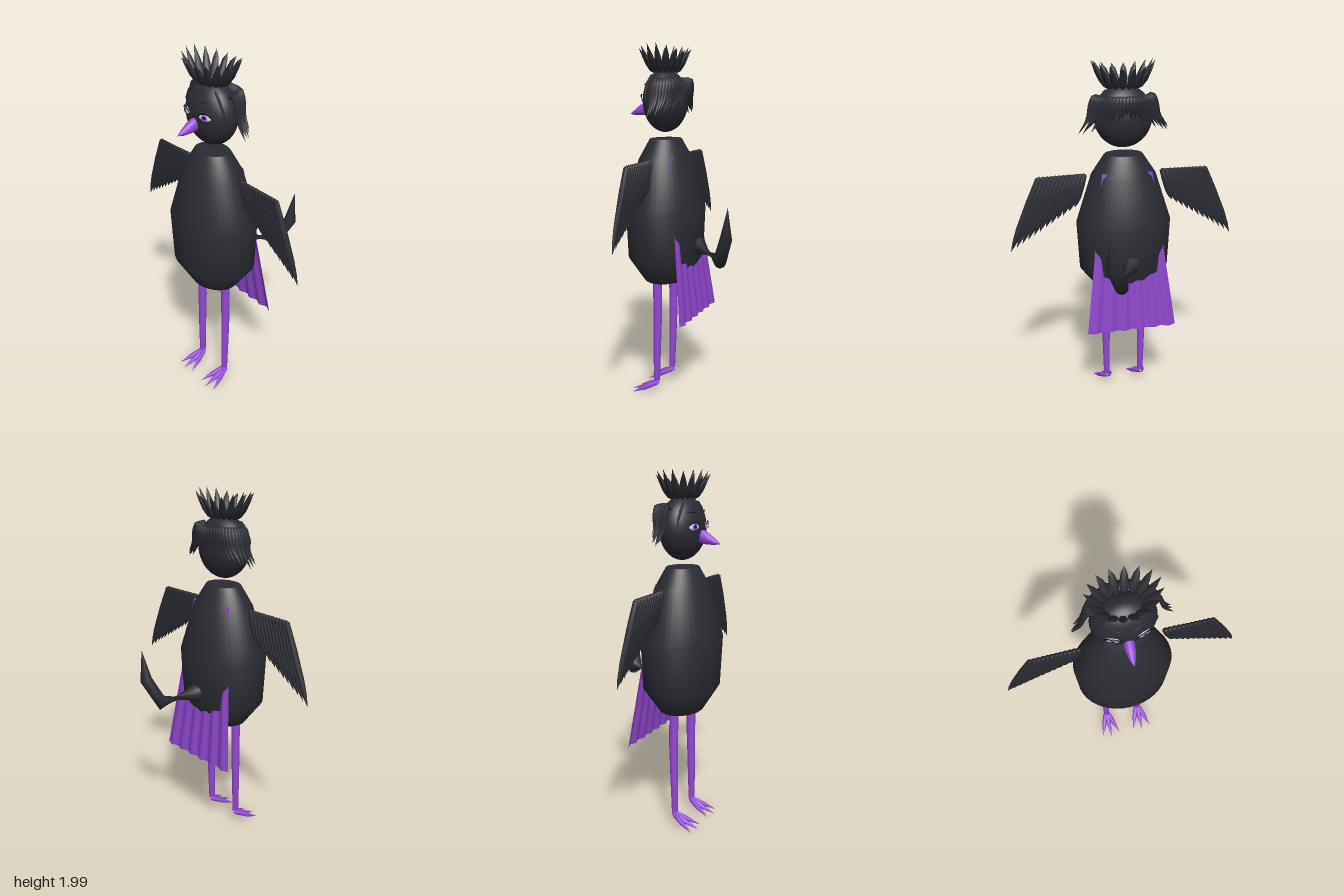
import * as THREE from 'three';

const mat = (name, color) => {
  const m = new THREE.MeshStandardMaterial({ color });
  m.name = name;
  return m;
};
const V = (x, y, z) => new THREE.Vector3(x, y, z);

// Tapered tube through points; each radius is a number or [across, along ref]
function loft(points, radii, sides = 8, ref = V(0, 0, 1)) {
  const pos = [], idx = [], last = points.length - 1;
  points.forEach((p, i) => {
    const t = points[Math.min(i + 1, last)].clone().sub(points[Math.max(i - 1, 0)]).normalize();
    const u = ref.clone().cross(t).normalize();
    const v = t.clone().cross(u);
    const [ru, rv] = Array.isArray(radii[i]) ? radii[i] : [radii[i], radii[i]];
    for (let j = 0; j < sides; j++) {
      const a = (j / sides) * Math.PI * 2;
      const q = p.clone().addScaledVector(u, Math.cos(a) * ru).addScaledVector(v, Math.sin(a) * rv);
      pos.push(q.x, q.y, q.z);
      if (i < last) {
        const k = (j + 1) % sides, b = i * sides, c = b + sides;
        idx.push(b + j, b + k, c + k, b + j, c + k, c + j);
      }
    }
  });
  const g = new THREE.BufferGeometry();
  g.setAttribute('position', new THREE.Float32BufferAttribute(pos, 3));
  g.setIndex(idx);
  g.computeVertexNormals();
  return g;
}

export function createModel() {
  const root = new THREE.Group();
  const black = mat('plumage black', 0x2b2c33);
  const purple = mat('purple', 0x9249d6);
  const cloth = mat('cape purple', 0x8a45c8);
  cloth.side = THREE.DoubleSide;
  const white = mat('eye white', 0xe8e6e2);
  const dark = mat('pupil black', 0x0c0b10);

  const add = (name, geo, material, parent = root) => {
    const m = new THREE.Mesh(geo, material);
    m.name = name;
    parent.add(m);
    return m;
  };
  const group = (name, parent = root) => {
    const g = new THREE.Group();
    g.name = name;
    parent.add(g);
    return g;
  };
  const CZ = 0.115;

  // Body: oval barrel with flat ends
  const profile = [[0, 0.68], [0.145, 0.68], [0.15, 0.683], [0.26, 0.825], [0.274, 1.1],
    [0.185, 1.375], [0.11, 1.487], [0.106, 1.49], [0, 1.49]].map(([r, y]) => new THREE.Vector2(r, y));
  const body = add('body', new THREE.LatheGeometry(profile, 40), black);
  body.scale.z = 0.785;
  body.position.z = CZ;

  // Head
  const head = add('head', new THREE.SphereGeometry(1, 36, 24), black);
  head.scale.set(0.164, 0.172, 0.116);
  head.position.set(0, 1.697, CZ);
  const faceZ = (x, y) => CZ + 0.116 * Math.sqrt(Math.max(0, 1 - (x / 0.164) ** 2 - ((y - 1.697) / 0.172) ** 2));

  // Crest: ring of leaf-shaped feathers leaning outward
  const crest = group('crest');
  for (let i = 0; i < 16; i++) {
    const a = ((i + 0.5) / 16) * Math.PI * 2, c = Math.cos(a), s = Math.sin(a);
    const at = (rx, rz, y) => V(c * rx, y, CZ + s * rz);
    const top = 1.965 + 0.037 * c * c;
    add('crestFeather', loft(
      [at(0.085, 0.055, 1.845), at(0.098, 0.068, 1.862), at(0.122, 0.088, 1.895), at(0.148, 0.112, 1.94), at(0.177, 0.135, top)],
      [0, [0.018, 0.011], [0.022, 0.013], [0.015, 0.009], 0], 8, V(c, 0, s)), black, crest);
  }

  // Hair: strands around the sides and back, flicking out at the sides
  const hair = group('hair');
  const N = 30;
  for (let i = 0; i < N; i++) {
    const a = -THREE.MathUtils.degToRad(4 + (172 * i) / (N - 1));
    const c = Math.cos(a), s = Math.sin(a), k = Math.abs(c);
    const tip = 1.70 - 0.09 * k + (i % 3) * 0.012;
    const at = (rx, rz, y) => V(c * rx, y, CZ + s * rz);
    const curve = new THREE.CatmullRomCurve3([at(0.11, 0.075, 1.79), at(0.163, 0.13, 1.812),
      at(0.186, 0.137, 1.765), at(0.203, 0.13, 0.5 * (1.765 + tip)), at(0.255, 0.122, tip)]);
    add('hairStrand', loft(curve.getPoints(10),
      [0.004, 0.009, 0.011, 0.012, 0.012, 0.012, 0.011, 0.01, 0.008, 0.005, 0], 6, V(-s, 0, c)), black, hair);
  }

  // Beak
  add('beak', loft([V(0, 1.665, 0.205), V(0, 1.655, 0.23), V(0, 1.642, 0.265), V(0, 1.628, 0.305), V(0, 1.62, 0.338)],
    [[0.022, 0.03], [0.027, 0.036], [0.025, 0.029], [0.015, 0.015], 0], 14, V(0, 1, 0)), purple);

  for (const side of [-1, 1]) {
    const label = side > 0 ? 'left' : 'right';

    // Eye
    const eye = group(label + 'Eye');
    eye.position.set(side * 0.075, 1.71, faceZ(0.075, 1.71));
    eye.rotation.y = side * 0.345;
    const ball = add('eyeWhite', new THREE.SphereGeometry(1, 20, 12), white, eye);
    ball.scale.set(0.036, 0.019, 0.009);
    const disc = (name, r, z, m) => {
      add(name, new THREE.CircleGeometry(r, 20), m, eye).position.z = z;
    };
    disc('iris', 0.0175, 0.0095, purple);
    disc('pupil', 0.008, 0.0105, dark);
    const lid = new THREE.QuadraticBezierCurve3(V(-0.04, 0.002, 0.002), V(0, 0.04, 0.012), V(0.04, 0.002, 0.002));
    add('upperLashes', new THREE.TubeGeometry(lid, 10, 0.0035, 5), dark, eye);

    // Brow and thin lock by the temple
    const brow = [[0.03, 1.776], [0.06, 1.786], [0.09, 1.786], [0.118, 1.77]]
      .map(([x, y]) => V(side * x, y, faceZ(x, y) + 0.003));
    add(label + 'Brow', loft(brow, [0.002, 0.006, 0.005, 0], 6), black);
    const lock = [[0.08, 1.835], [0.118, 1.795], [0.145, 1.745], [0.152, 1.69]]
      .map(([x, y]) => V(side * (x + 0.004), y, faceZ(x, y) + 0.004));
    add(label + 'TempleLock', loft(lock, [0.006, 0.007, 0.006, 0], 6), black);

    // Wing: overlapping feathers that lengthen outward
    const wing = group(label + 'Wing');
    const count = 12;
    for (let i = 0; i < count; i++) {
      const t = i / (count - 1);
      const r = V(side * (0.225 + 0.25 * t), 1.39, 0.108);
      const e = V(side * (0.285 + 0.37 * t), 1.2 - 0.235 * t, 0.1);
      const at = (f) => r.clone().lerp(e, f);
      add('wingFeather', loft([at(0), at(0.04), at(0.35), at(0.7), at(0.88), at(1)],
        [0, [0.017, 0.014], [0.021, 0.017], [0.02, 0.014], [0.012, 0.009], 0], 8), black, wing);
    }

    // Leg
    const x = side * 0.107;
    add(label + 'Leg', loft([V(x, 0.72, 0.122), V(x * 1.02, 0.5, 0.121), V(x * 1.02, 0.3, 0.126), V(x, 0.085, 0.131), V(x, 0.078, 0.131)],
      [0.026, 0.025, 0.022, 0.018, 0], 12), purple);

    // Foot: three splayed toes
    const foot = group(label + 'Foot');
    for (const k of [-1, 0, 1]) {
      add('toe', loft([V(x, 0.075, 0.115), V(x + k * 0.01, 0.066, 0.135), V(x + k * 0.032, 0.037, 0.195), V(x + k * 0.058, 0.006, k ? 0.265 : 0.285)],
        [0.006, 0.014, 0.014, 0], 8, V(0, 1, 0)), purple, foot);
    }
  }

  // Cape: gently folded sheet, mostly sunk into the back
  const cape = new THREE.PlaneGeometry(2, 1, 48, 16);
  const p = cape.attributes.position;
  for (let i = 0; i < p.count; i++) {
    const u = p.getX(i), t = 0.5 - p.getY(i);
    const fold = Math.cos(u * Math.PI * 6) * (0.003 + 0.005 * t);
    p.setXYZ(i, u * (0.143 + 0.119 * t), 1.4 - 0.91 * t, 0.02 - 0.112 * t + fold);
  }
  cape.computeVertexNormals();
  add('cape', cape, cloth);

  // Tail: kinked and tapering to a point
  add('tail', loft([V(-0.02, 0.905, -0.03), V(0.01, 0.89, -0.09), V(0.105, 0.845, -0.255), V(0.17, 0.98, -0.312), V(0.183, 1.155, -0.326)],
    [0.05, 0.049, 0.042, 0.034, 0], 14, V(0.8, 0, 0.6).cross(V(0, 1, 0))), black);

  return root;
}
